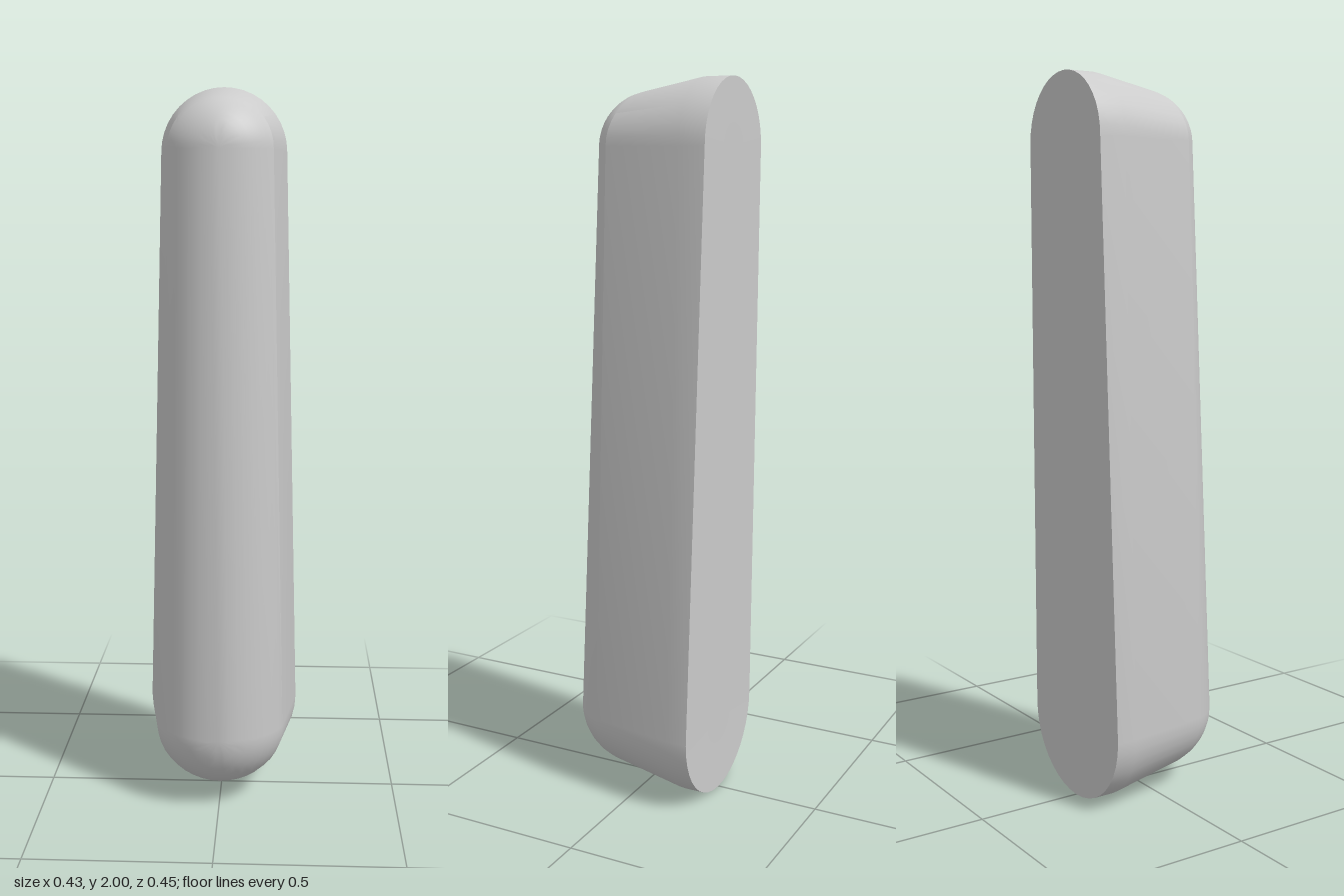
import * as THREE from 'three';
import { toCreasedNormals } from 'three/addons/utils/BufferGeometryUtils.js';

const CAP_STEPS = 20;
const DOME_STEPS = 8;

// Each rounded end: centre height, back/front radius, depths of back, bevel start, rim and crest,
// and how far the rim falls back at the very tip.
const TOP = { y: 1.822, rBack: 0.178, rFront: 0.142, back: -0.225, bend: -0.15, rim: 0.08, crest: 0.155, drop: 0.045 };
const BOTTOM = { y: 0.217, rBack: 0.217, rFront: 0.178, back: -0.2, bend: -0.14, rim: 0.105, crest: 0.225, drop: 0.035 };

// Point on one end for a given layer and outline angle
function endPoint(end, layer, angle) {
  const rim = end.rim - end.drop * Math.sin(angle) ** 2;
  let r, z;
  if (layer === 0) [r, z] = [0, end.back];
  else if (layer === 1) [r, z] = [end.rBack, end.back];
  else if (layer === 2) [r, z] = [end.rBack, end.bend];
  else {
    // circular arc from the rim to the crest
    const t = (layer - 3) / DOME_STEPS;
    const rise = end.crest - rim;
    const R = (end.rFront ** 2 + rise ** 2) / (2 * rise);
    const a = Math.asin(Math.min(1, end.rFront / R)) * (1 - t);
    r = R * Math.sin(a);
    z = end.crest - R + R * Math.cos(a);
  }
  return new THREE.Vector3(r * Math.cos(angle), end.y + r * Math.sin(angle), z);
}

// Tapered, round-ended outline, counterclockwise from the front
function ring(layer) {
  const points = [];
  for (const [end, start] of [[TOP, 0], [BOTTOM, Math.PI]])
    for (let i = 0; i <= CAP_STEPS; i++)
      points.push(endPoint(end, layer, start + (Math.PI * i) / CAP_STEPS));
  return points;
}

function bodyGeometry() {
  const positions = [];
  const triangle = (a, b, c) => {
    const area = b.clone().sub(a).cross(c.clone().sub(a)).length();
    if (area > 1e-9) for (const p of [a, b, c]) positions.push(p.x, p.y, p.z);
  };
  // Flat back, tapering walls and domed front as one loft
  const rings = [];
  for (let k = 0; k <= 3 + DOME_STEPS; k++) rings.push(ring(k));
  for (let k = 0; k + 1 < rings.length; k++) {
    const lower = rings[k], upper = rings[k + 1], n = lower.length;
    for (let i = 0; i < n; i++) {
      const j = (i + 1) % n;
      triangle(lower[i], lower[j], upper[j]);
      triangle(lower[i], upper[j], upper[i]);
    }
  }
  const geometry = new THREE.BufferGeometry();
  geometry.setAttribute('position', new THREE.Float32BufferAttribute(positions, 3));
  return toCreasedNormals(geometry, 0.36);
}

export function createModel() {
  const group = new THREE.Group();
  group.name = 'taperedHandle';
  const body = new THREE.Mesh(bodyGeometry(), new THREE.MeshStandardMaterial({ color: 0xcccccc }));
  body.name = 'handleBody';
  group.add(body);
  return group;
}
